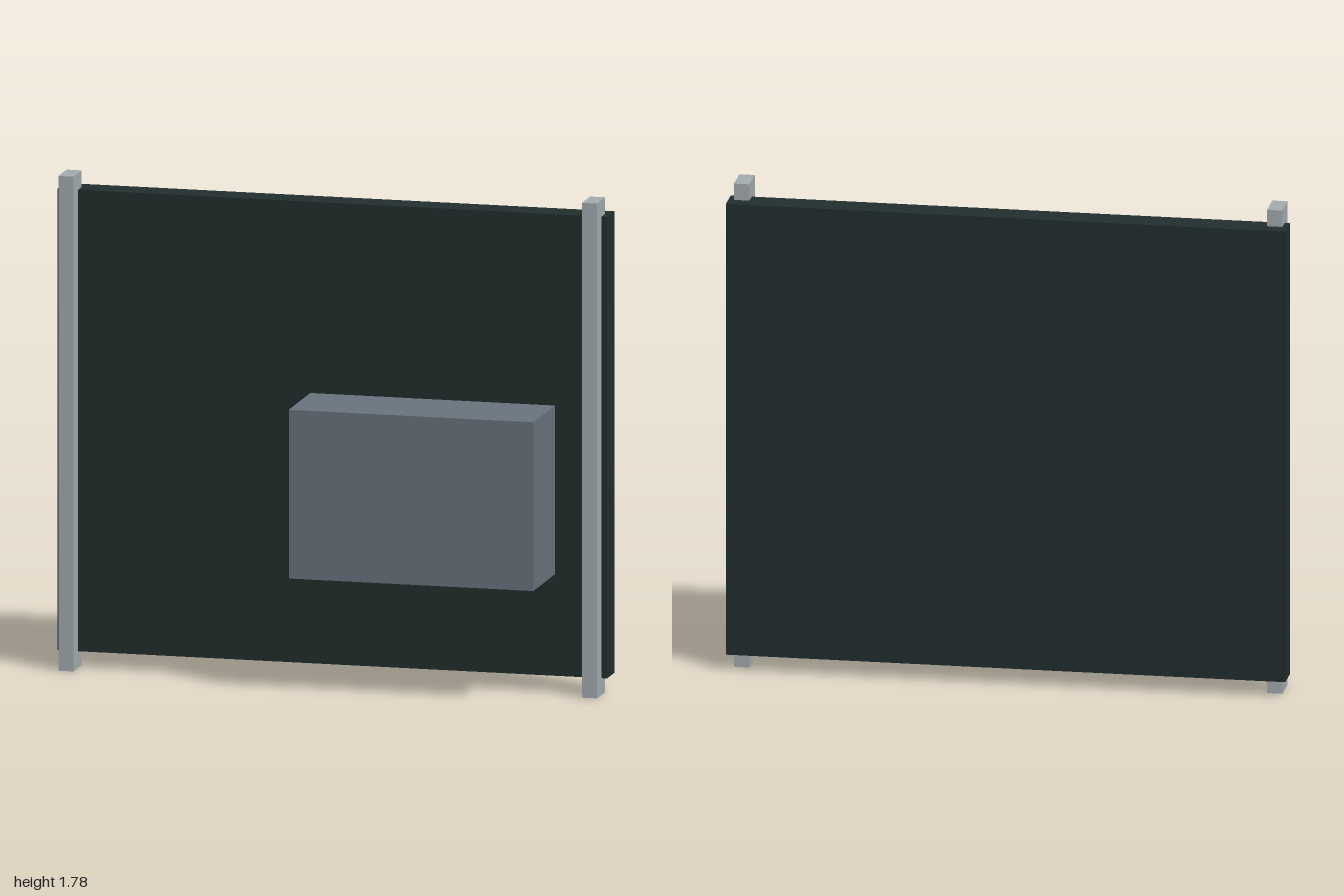
import * as THREE from 'three';

export function createModel() {
  const group = new THREE.Group();
  const material = (name, color) => {
    const m = new THREE.MeshStandardMaterial({ color });
    m.name = name;
    return m;
  };
  const darkGreen = material('dark green', 0x222e2e);
  const lightGrey = material('light grey', 0xa5adb1);
  const slateGrey = material('slate grey', 0x6a757e);

  // Box given by its extents along each axis
  const addBox = (name, mat, [x0, x1], [y0, y1], [z0, z1]) => {
    const mesh = new THREE.Mesh(new THREE.BoxGeometry(x1 - x0, y1 - y0, z1 - z0), mat);
    mesh.position.set((x0 + x1) / 2, (y0 + y1) / 2, (z0 + z1) / 2);
    mesh.name = name;
    group.add(mesh);
  };

  // Large upright board
  addBox('panel', darkGreen, [-1, 1], [0.06, 1.72], [-0.205, -0.1]);

  // Rails let into the front of the board, one near each side
  addBox('leftRail', lightGrey, [0.925, 0.98], [0, 1.78], [-0.15, -0.035]);
  addBox('rightRail', lightGrey, [-0.98, -0.925], [0, 1.78], [-0.15, -0.035]);

  // Cabinet mounted on the front, off centre
  addBox('cabinet', slateGrey, [-0.08, 0.81], [0.425, 1.032], [-0.1, 0.205]);

  return group;
}
